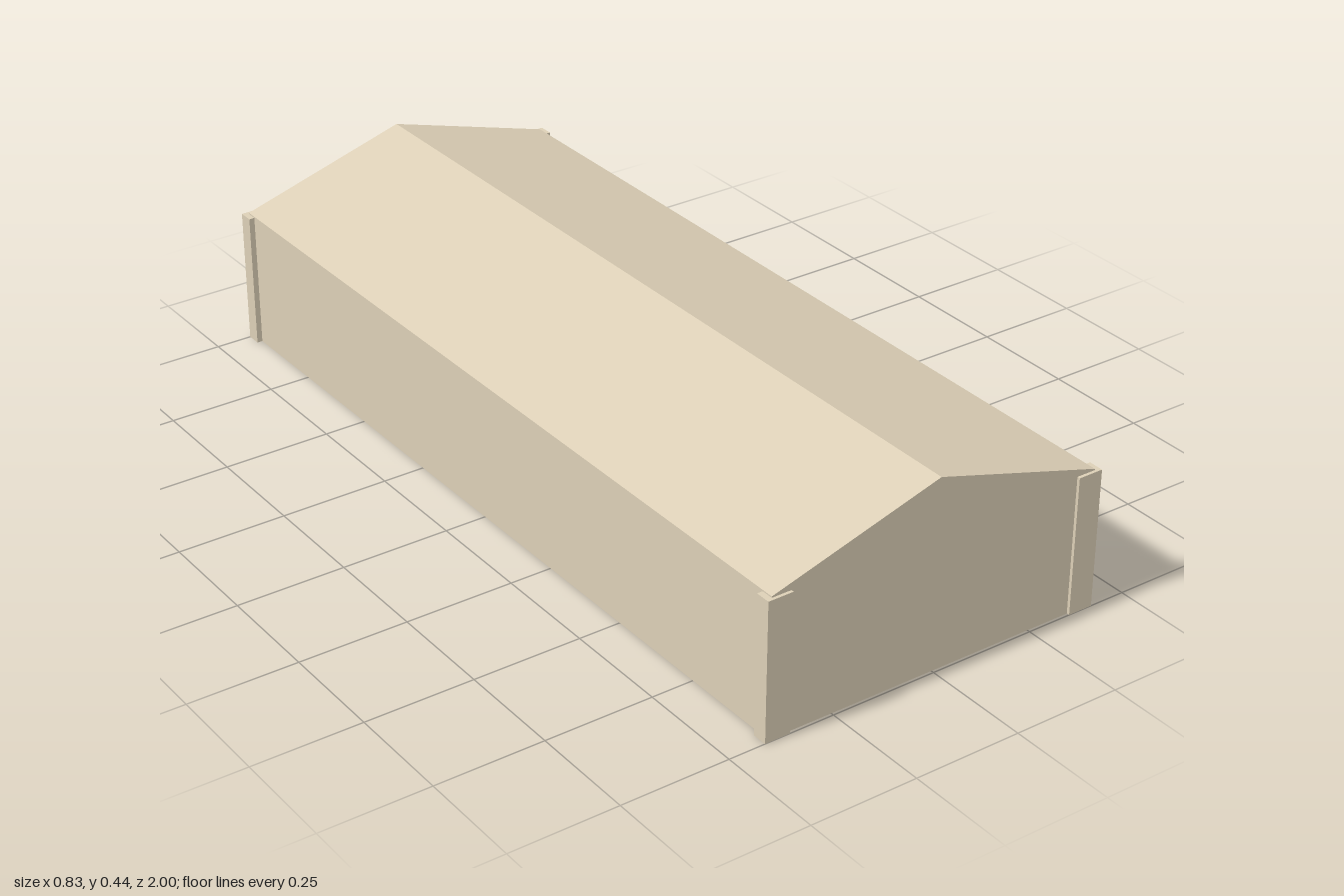
import * as THREE from 'three';

export function createModel() {
  const group = new THREE.Group();
  group.name = 'gabledHall';
  const material = new THREE.MeshStandardMaterial({ color: 0xdccfb6, flatShading: true });

  // Gabled body: pentagon profile extruded along z
  const w = 0.402, eave = 0.324, ridge = 0.443, back = -0.99, front = 0.993;
  const profile = new THREE.Shape([
    new THREE.Vector2(-w, 0),
    new THREE.Vector2(w, 0),
    new THREE.Vector2(w, eave),
    new THREE.Vector2(0, ridge),
    new THREE.Vector2(-w, eave),
  ]);
  const bodyGeometry = new THREE.ExtrudeGeometry(profile, { depth: front - back, bevelEnabled: false });
  bodyGeometry.translate(0, 0, back);
  const body = new THREE.Mesh(bodyGeometry, material);
  body.name = 'gabledBody';
  group.add(body);

  // Corner pilasters, standing slightly proud of the walls
  const postW = 0.059, postH = 0.321, postD = 0.035;
  const postGeometry = new THREE.BoxGeometry(postW, postH, postD);
  for (const sx of [-1, 1]) {
    for (const sz of [-1, 1]) {
      const post = new THREE.Mesh(postGeometry, material);
      post.name = (sz > 0 ? 'front' : 'back') + (sx > 0 ? 'Left' : 'Right') + 'Pilaster';
      post.position.set(sx * (0.415 - postW / 2), postH / 2, sz * (1 - postD / 2));
      group.add(post);
    }
  }
  return group;
}
